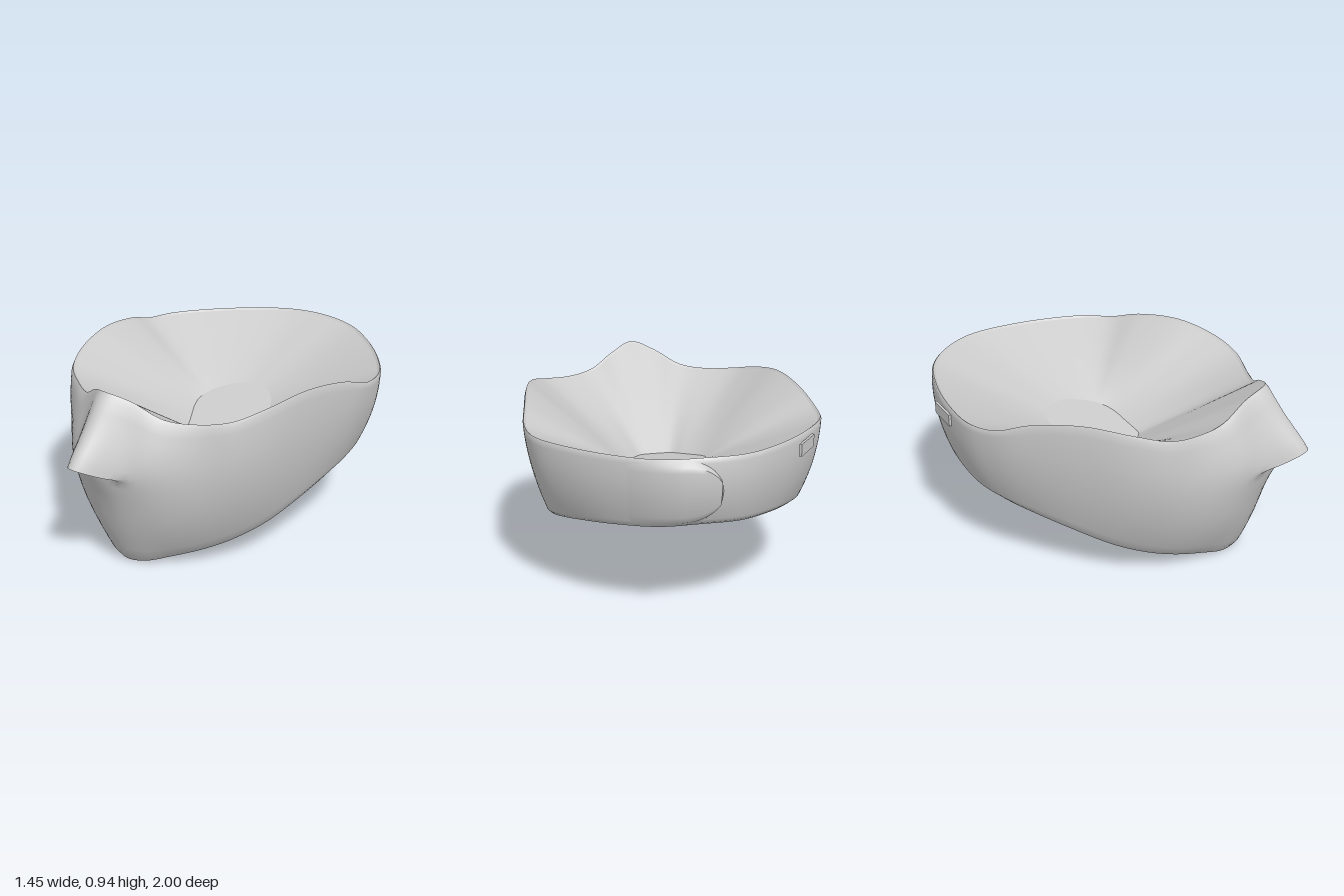
import * as THREE from 'three';
import { toCreasedNormals } from 'three/addons/utils/BufferGeometryUtils.js';

const material = new THREE.MeshStandardMaterial({ color: 0xcccccc, side: THREE.DoubleSide });
const V = (x, y, z) => new THREE.Vector3(x, y, z);
const N = 156; // columns around the mask

// Half outlines, from the front centre along the left side to the back centre
const topHalf = [
  [0, 0.94, 0.77], [0.12, 0.9, 0.71], [0.25, 0.828, 0.645], [0.38, 0.815, 0.57], [0.52, 0.835, 0.475],
  [0.605, 0.875, 0.33], [0.665, 0.91, 0.1], [0.705, 0.885, -0.15], [0.727, 0.835, -0.32], [0.7, 0.828, -0.47],
  [0.59, 0.83, -0.63], [0.4, 0.835, -0.815], [0.2, 0.84, -0.94], [0, 0.845, -0.97],
];
const midHalf = [
  [0, 0.47, 0.8], [0.1, 0.455, 0.785], [0.25, 0.43, 0.715], [0.42, 0.45, 0.57], [0.53, 0.49, 0.45],
  [0.6, 0.53, 0.31], [0.65, 0.58, 0.08], [0.68, 0.6, -0.15], [0.69, 0.61, -0.33], [0.67, 0.62, -0.47],
  [0.575, 0.64, -0.63], [0.4, 0.66, -0.81], [0.2, 0.675, -0.94], [0, 0.68, -0.975],
];
const bottomHalf = [
  [0, 0, 0.66], [0.1, 0.01, 0.63], [0.2, 0.04, 0.56], [0.34, 0.09, 0.45], [0.44, 0.138, 0.34],
  [0.52, 0.195, 0.2], [0.575, 0.268, 0.02], [0.605, 0.34, -0.2], [0.61, 0.38, -0.33], [0.59, 0.42, -0.47],
  [0.51, 0.45, -0.61], [0.37, 0.48, -0.77], [0.19, 0.5, -0.89], [0, 0.51, -0.92],
];
const neckHalf = [
  [0, 0, 0.1], [0.04, 0, 0.1], [0.08, 0, 0.09], [0.12, 0, 0.03], [0.15, 0, -0.02],
  [0.18, 0, -0.07], [0.2, 0, -0.12], [0.205, 0, -0.17], [0.2, 0, -0.21], [0.185, 0, -0.25],
  [0.16, 0, -0.29], [0.12, 0, -0.335], [0.065, 0, -0.37], [0, 0, -0.38],
];

// Mirrors a half outline into a smooth closed curve
function closedCurve(half) {
  const mirrored = half.slice(1, -1).reverse().map(([x, y, z]) => [-x, y, z]);
  return new THREE.CatmullRomCurve3([...half, ...mirrored].map((p) => V(...p)), true);
}
const [topC, midC, bottomC, neckC] = [topHalf, midHalf, bottomHalf, neckHalf].map(closedCurve);

const ring = (fn) => Array.from({ length: N }, (_, i) => fn(i / N));
// Shrinks a point towards the vertical axis of the neck
const inset = (p, s, dy) => V(p.x * s, p.y + dy, (p.z + 0.1) * s - 0.1);

// Outer wall: a parabola through the three outlines, plus the cheeks and nose
const TIP = 0.33, UNDER = 0.36;
function wall(u, t) {
  const p = topC.getPoint(u).multiplyScalar((1 - t) * (1 - 2 * t))
    .addScaledVector(midC.getPoint(u), 4 * t * (1 - t))
    .addScaledVector(bottomC.getPoint(u), t * (2 * t - 1));
  const ax = Math.abs(p.x);
  if (p.z > 0.3) {
    p.z += 0.06 * Math.exp(-((ax / 0.28) ** 2) - ((p.y - 0.6) / 0.15) ** 2);
    const f = ax < 0.18 ? 0.5 + 0.5 * Math.cos(Math.PI * ax / 0.18) : 0;
    const fade = THREE.MathUtils.clamp((0.22 - ax) / 0.1, 0, 1);
    if (t <= TIP) {
      p.z += 0.133 * f * t / TIP;
      p.y -= 0.055 * (1 - f) * fade * (t / TIP) ** 2;
    } else if (t <= UNDER) {
      p.y += 0.008 * f - 0.045 * (1 - f) * fade;
    }
  }
  return p;
}

// Skins a list of rings (closed) or strips (open)
function loft(name, rows, closed = true) {
  const n = rows[0].length, pos = [], index = [];
  rows.forEach((r) => r.forEach((p) => pos.push(p.x, p.y, p.z)));
  for (let j = 0; j < rows.length - 1; j++) {
    for (let i = 0; i < (closed ? n : n - 1); i++) {
      const k = (i + 1) % n, a = j * n + i, b = j * n + k, c = a + n, d = b + n;
      index.push(a, c, b, b, c, d);
    }
  }
  const g = new THREE.BufferGeometry();
  g.setAttribute('position', new THREE.Float32BufferAttribute(pos, 3));
  g.setIndex(index);
  const mesh = new THREE.Mesh(toCreasedNormals(g, 0.9), material);
  mesh.name = name;
  return mesh;
}

export function createModel() {
  const group = new THREE.Group();
  group.name = 'faceMask';

  // Outer wall with rolled rims
  const ts = [0.025, 0.08, 0.14, 0.2, 0.26, 0.3, TIP, UNDER, 0.4, 0.45, 0.52, 0.6, 0.68, 0.76, 0.84, 0.91, 0.96];
  const topRim = ring((u) => inset(topC.getPoint(u), 0.978, -0.01));
  const bottomRim = ring((u) => inset(bottomC.getPoint(u), 0.96, 0.012));
  group.add(loft('maskWall', [
    topRim,
    ring((u) => inset(topC.getPoint(u), 0.993, 0)),
    ...ts.map((t) => ring((u) => wall(u, t))),
    ring((u) => inset(bottomC.getPoint(u), 0.985, 0)),
    bottomRim,
  ]));

  // Linings that slope from each rim to the tilted neck
  const neckRing = (y) => ring((u) => {
    const p = neckC.getPoint(u);
    return p.setY(y - 0.22 * p.z);
  });
  const neckTop = neckRing(0.52), neckBottom = neckRing(0.505);
  const between = (a, b) => [0, 0.25, 0.5, 0.75, 1].map((s) => a.map((p, i) => p.clone().lerp(b[i], s)));
  group.add(loft('upperLining', between(neckTop, topRim)));
  group.add(loft('lowerLining', between(bottomRim, neckBottom)));

  // Flat caps closing the neck
  group.add(loft('upperNeckCap', [ring(() => V(0, 0.551, -0.14)), neckTop]));
  group.add(loft('lowerNeckCap', [neckBottom, ring(() => V(0, 0.536, -0.14))]));

  // Overlapping strap end at the back, with a rounded tip
  const steps = 30, flapRows = [];
  for (let j = 0; j <= 12; j++) {
    const row = [];
    for (let i = 0; i <= steps; i++) {
      const s = i / steps;
      const u = 0.43 + 0.086 * s;
      const r = Math.max(0, (s - 0.6) / 0.4);
      const half = 0.49 * Math.sqrt(Math.max(0, 1 - r * r));
      const p = wall(u, 0.5 + half * (j / 6 - 1));
      const edge = j === 0 || j === 12 || i === steps;
      p.z -= edge ? -0.005 : 0.026 * Math.min(1, s * 1.8) - 0.004;
      row.push(p);
    }
    flapRows.push(row);
  }
  group.add(loft('strapFlap', flapRows, false));

  // Small thin tab on the back of the right side
  const tab = new THREE.Mesh(new THREE.BoxGeometry(0.17, 0.06, 0.012), material);
  tab.name = 'strapTab';
  tab.position.set(-0.555, 0.77, -0.689);
  tab.rotation.y = 0.905;
  group.add(tab);

  return group;
}
